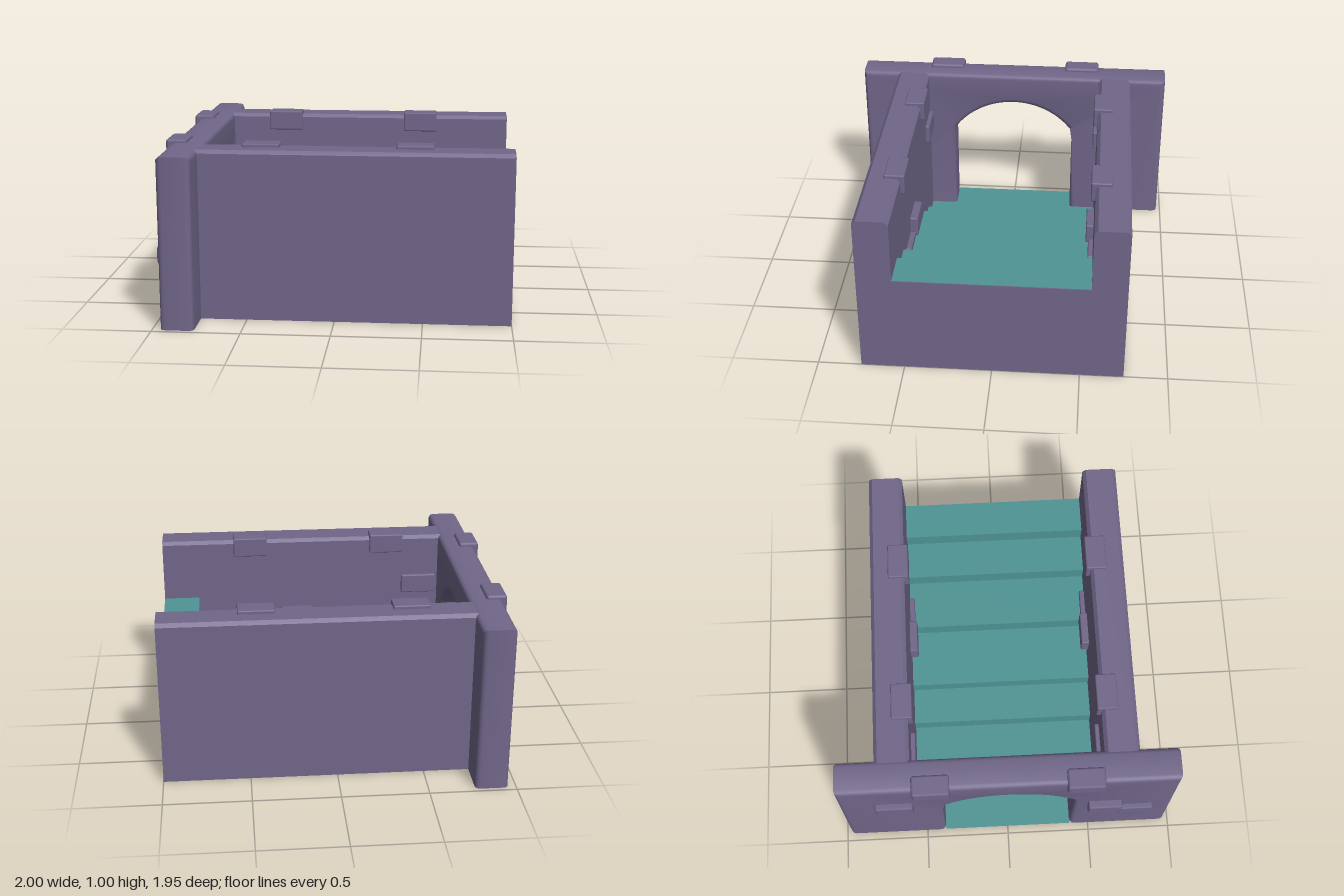
import * as THREE from 'three';
import { toCreasedNormals } from 'three/addons/utils/BufferGeometryUtils.js';
import { RoundedBoxGeometry } from 'three/addons/geometries/RoundedBoxGeometry.js';

export function createModel() {
  const model = new THREE.Group();
  model.name = 'gatedStairway';

  const stone = new THREE.MeshStandardMaterial({ color: 0x71678a });
  stone.name = 'purple stone';
  const tread = new THREE.MeshStandardMaterial({ color: 0x4f9494, side: THREE.DoubleSide });
  tread.name = 'teal steps';

  const add = (name, geometry, material) => {
    const mesh = new THREE.Mesh(geometry, material);
    mesh.name = name;
    model.add(mesh);
    return mesh;
  };

  // Box given by its lower and upper limits on each axis
  const block = (name, [x0, x1], [y0, y1], [z0, z1], radius = 0) => {
    const size = [x1 - x0, y1 - y0, z1 - z0];
    const geometry = radius
      ? new RoundedBoxGeometry(...size, 1, radius)
      : new THREE.BoxGeometry(...size);
    add(name, geometry, stone).position.set((x0 + x1) / 2, (y0 + y1) / 2, (z0 + z1) / 2);
  };

  // Gate slab with an arched passage and softened edges
  const bevel = 0.03, height = 0.98, halfWidth = 0.975;
  const gateShape = new THREE.Shape();
  gateShape.moveTo(-halfWidth, 0);
  gateShape.lineTo(-0.385, 0);
  gateShape.lineTo(-0.385, 0.58);
  const radius = 0.464, centreY = 0.321;
  const spring = Math.acos(0.385 / radius);
  gateShape.absarc(0, centreY, radius, Math.PI - spring, spring, true);
  gateShape.lineTo(0.385, 0);
  gateShape.lineTo(halfWidth, 0);
  gateShape.lineTo(halfWidth, height);
  gateShape.lineTo(-halfWidth, height);
  gateShape.closePath();
  const gate = new THREE.ExtrudeGeometry(gateShape, {
    depth: 0.19 - 2 * bevel, bevelThickness: bevel, bevelSize: bevel,
    bevelOffset: -bevel, bevelSegments: 3, curveSegments: 20,
  });
  gate.rotateY(-Math.PI / 2).translate(-0.765 - bevel, 0, 0);
  // Flatten the foot so that the slab stands squarely on the ground
  const p = gate.attributes.position;
  for (let i = 0; i < p.count; i++) if (p.getY(i) < bevel + 0.005) p.setY(i, 0);
  add('archedGate', toCreasedNormals(gate, 0.6), stone);

  // Side walls with chamfered tops
  for (const side of [1, -1]) {
    const c = 0.02;
    const profile = [[0.55, 0], [0.75, 0], [0.75, height - c], [0.75 - c, height],
      [0.55 + c, height], [0.55, height - c]];
    const shape = new THREE.Shape(profile.map(([z, y]) => new THREE.Vector2(side * z, y)));
    const wall = new THREE.ExtrudeGeometry(shape, { depth: 1.78, bevelEnabled: false });
    wall.rotateY(-Math.PI / 2).translate(1, 0, 0);
    add(side > 0 ? 'leftHandWall' : 'rightHandWall', wall, stone);
  }

  // Thin end wall below the top step
  block('endWall', [0.985, 1], [0, 0.595], [-0.55, 0.55]);

  // Stairs as an open sheet of treads and risers
  const edges = [-0.765, -0.53, -0.32, -0.1, 0.25, 0.55, 0.78, 1];
  const levels = [0.006, 0.11, 0.21, 0.3, 0.4, 0.5, 0.6];
  levels.forEach((y, i) => {
    const [x0, x1] = [edges[i], edges[i + 1]];
    const top = new THREE.PlaneGeometry(x1 - x0, 1.1).rotateX(-Math.PI / 2);
    add('tread', top, tread).position.set((x0 + x1) / 2, y, 0);
    if (i === 0) return;
    const below = levels[i - 1];
    const riser = new THREE.PlaneGeometry(1.1, y - below).rotateY(-Math.PI / 2);
    add('riser', riser, tread).position.set(x0, (y + below) / 2, 0);
  });
  const sill = new THREE.PlaneGeometry(0.19, 0.77).rotateX(-Math.PI / 2);
  add('passageFloor', sill, tread).position.set(-0.86, 0.006, 0);

  // Stones repeated on both walls
  for (const side of [1, -1]) {
    const span = (a, b) => (side > 0 ? [a, b] : [-b, -a]);
    for (const [x0, x1] of [[-0.53, -0.32], [0.34, 0.55]]) {
      block('copingStoneTop', [x0, x1], [0.965, 1], span(0.525, 0.645), 0.008);
      block('copingStoneFace', [x0, x1], [0.88, 0.995], span(0.525, 0.56), 0.008);
    }
    block('wallBrickHigh', [-0.75, -0.53], [0.6, 0.72], span(0.525, 0.57), 0.008);
    block('wallBrickMiddle', [0.05, 0.25], [0.4, 0.52], span(0.505, 0.57), 0.008);
    block('wallBrickLow', [0.25, 0.44], [0.33, 0.43], span(0.52, 0.57), 0.008);
    block('gateTopBrick', [-0.985, -0.865], [0.885, 1], span(0.33, 0.545), 0.015);
  }

  // Loose bricks on the outer face of the gate
  block('gateBrick', [-0.99, -0.92], [0.6, 0.72], [-0.77, -0.55], 0.012);
  block('gateBrick', [-1, -0.92], [0.45, 0.56], [0.47, 0.67], 0.012);
  block('gateBrick', [-0.985, -0.92], [0.35, 0.45], [0.66, 0.86], 0.012);

  return model;
}
